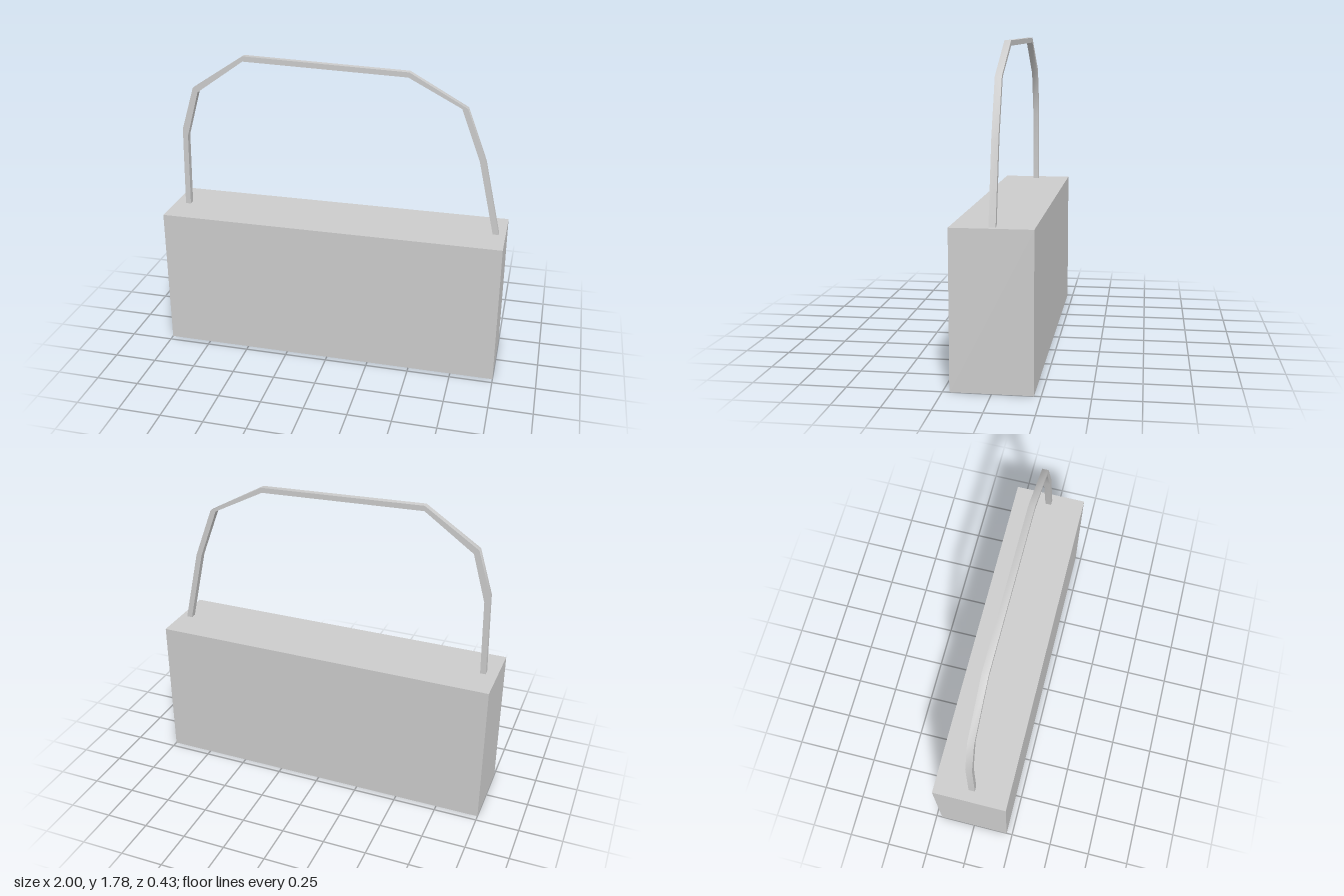
import * as THREE from 'three';
import { toCreasedNormals } from 'three/addons/utils/BufferGeometryUtils.js';

export function createModel() {
  const group = new THREE.Group();
  const material = new THREE.MeshStandardMaterial({ color: 0xcccccc });

  // Rectangular bag body
  const height = 0.84;
  const body = new THREE.Mesh(new THREE.BoxGeometry(2, height, 0.428), material);
  body.name = 'body';
  body.position.y = height / 2;
  group.add(body);

  // Angular carrying handle: outer edge and inner edge, both from -x to +x
  const outer = [[-0.935, height], [-0.922, 1.32], [-0.843, 1.577], [-0.534, 1.782],
    [0.418, 1.754], [0.747, 1.572], [0.862, 1.273], [0.961, height]];
  const inner = [[-0.903, height], [-0.892, 1.28], [-0.815, 1.552], [-0.534, 1.752],
    [0.413, 1.725], [0.714, 1.57], [0.828, 1.273], [0.927, height]];
  const outline = [...outer, ...inner.reverse()].map(([x, y]) => new THREE.Vector2(x, y));
  const depth = 0.036;
  const strap = new THREE.ExtrudeGeometry(new THREE.Shape(outline), { depth, bevelEnabled: false });
  strap.translate(0, 0, -depth / 2);

  // Soft shading along the bends, sharp along the square edges
  const handle = new THREE.Mesh(toCreasedNormals(strap, 0.9), material);
  handle.name = 'handle';
  group.add(handle);

  return group;
}
